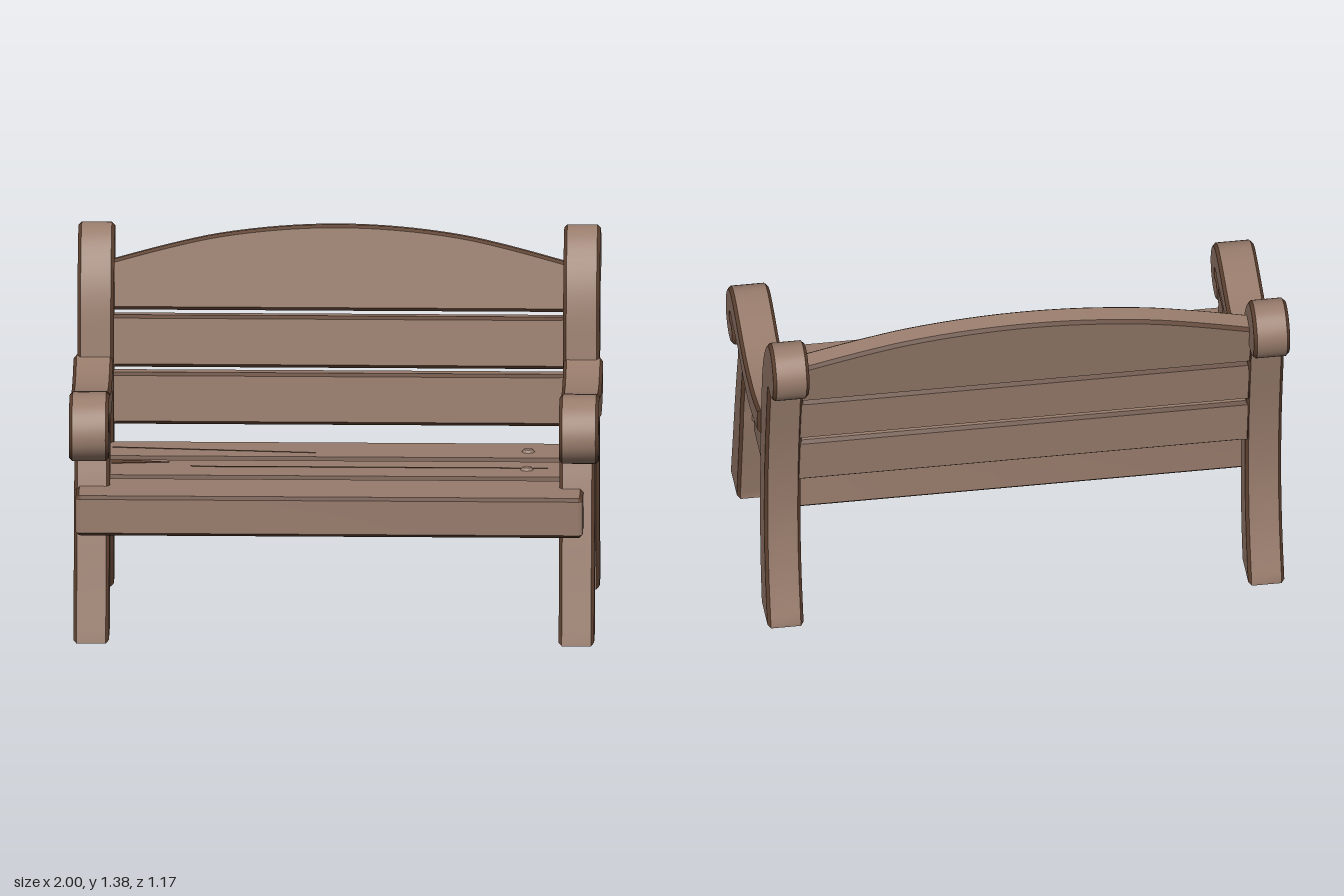
import * as THREE from 'three';
import { toCreasedNormals } from 'three/addons/utils/BufferGeometryUtils.js';

const BEVEL = 0.012;

export function createModel() {
  const bench = new THREE.Group();
  bench.name = 'bench';

  const wood = new THREE.MeshStandardMaterial({ color: 0x987c6c });
  wood.name = 'wood';
  const wornEdge = new THREE.MeshStandardMaterial({ color: 0x5e4130 });
  wornEdge.name = 'worn edge';

  // Bevelled solid centred on its depth; the slanted bevel faces take the edge colour
  function solid(shape, depth) {
    const raw = new THREE.ExtrudeGeometry(shape, {
      depth: depth - 2 * BEVEL, curveSegments: 8, bevelEnabled: true, bevelSegments: 1,
      bevelSize: BEVEL, bevelThickness: BEVEL, bevelOffset: -BEVEL,
    });
    raw.translate(0, 0, BEVEL - depth / 2);
    const faces = [[], []];
    const normal = raw.attributes.normal;
    for (let i = 0; i < normal.count; i += 3) {
      const slope = Math.abs(normal.getZ(i));
      faces[slope > 0.2 && slope < 0.95 ? 1 : 0].push(i, i + 1, i + 2);
    }
    const geometry = toCreasedNormals(raw, 0.6);
    geometry.setIndex([...faces[0], ...faces[1]]);
    geometry.clearGroups();
    geometry.addGroup(0, faces[0].length, 0);
    geometry.addGroup(faces[0].length, faces[1].length, 1);
    return geometry;
  }

  function add(name, geometry, material = [wood, wornEdge]) {
    const mesh = new THREE.Mesh(geometry, material);
    mesh.name = name;
    bench.add(mesh);
    return mesh;
  }

  // Closed outline from smooth runs that meet at sharp corners
  function outline(...runs) {
    const points = runs.flatMap((run) => {
      const v = run.map(([a, b]) => new THREE.Vector2(a, b));
      return v.length < 3 ? v : new THREE.SplineCurve(v).getPoints((v.length - 1) * 4);
    });
    return new THREE.Shape(points);
  }

  // Rectangle with softened corners, centred
  function plankShape(w, h, r = 0.02) {
    const x = w / 2, y = h / 2;
    const s = new THREE.Shape();
    s.moveTo(-x + r, -y);
    s.lineTo(x - r, -y);
    s.quadraticCurveTo(x, -y, x, -y + r);
    s.lineTo(x, y - r);
    s.quadraticCurveTo(x, y, x - r, y);
    s.lineTo(-x + r, y);
    s.quadraticCurveTo(-x, y, -x, y - r);
    s.lineTo(-x, -y + r);
    s.quadraticCurveTo(-x, -y, -x + r, -y);
    return s;
  }

  // Side frames, drawn as (z, y) outlines
  const backPost = outline(
    [[-0.43, 0.0], [-0.265, 0.0]],
    [[-0.262, 0.01], [-0.23, 0.18], [-0.215, 0.4], [-0.22, 0.6], [-0.232, 0.8], [-0.25, 0.96],
      [-0.272, 1.1], [-0.31, 1.21], [-0.37, 1.302], [-0.425, 1.35], [-0.48, 1.366], [-0.535, 1.348],
      [-0.575, 1.3], [-0.584, 1.25], [-0.568, 1.195], [-0.53, 1.154], [-0.48, 1.14], [-0.44, 1.142]],
    [[-0.428, 1.125], [-0.405, 1.0], [-0.37, 0.8], [-0.35, 0.6], [-0.35, 0.4], [-0.378, 0.2], [-0.43, 0.012]],
  );
  const frontLeg = outline(
    [[0.385, 0.0], [0.565, 0.0]],
    [[0.562, 0.015], [0.51, 0.22], [0.46, 0.42], [0.41, 0.6], [0.378, 0.71], [0.385, 0.82]],
    [[0.25, 0.81], [0.242, 0.72], [0.265, 0.62], [0.295, 0.5], [0.31, 0.4], [0.35, 0.2], [0.385, 0.015]],
  );
  const armrest = outline(
    [[-0.26, 0.908], [-0.18, 0.886], [-0.1, 0.87], [0.0, 0.864], [0.1, 0.87], [0.2, 0.889], [0.3, 0.916],
      [0.4, 0.938], [0.47, 0.937], [0.535, 0.9], [0.575, 0.835], [0.578, 0.77], [0.545, 0.718],
      [0.49, 0.694], [0.435, 0.7], [0.4, 0.73], [0.396, 0.77], [0.415, 0.803], [0.442, 0.802],
      [0.464, 0.798], [0.47, 0.815], [0.45, 0.827], [0.41, 0.815]],
    [[0.37, 0.812], [0.28, 0.808], [0.2, 0.79], [0.1, 0.766], [0.0, 0.756], [-0.1, 0.766], [-0.26, 0.8]],
  );
  for (const [side, sign] of [['left', 1], ['right', -1]]) {
    for (const [part, shape, width, x] of [
      ['BackPost', backPost, 0.138, 0.917], ['FrontLeg', frontLeg, 0.134, 0.916], ['Armrest', armrest, 0.15, 0.925],
    ]) {
      const mesh = add(side + part, solid(shape, width).rotateY(-Math.PI / 2));
      mesh.position.x = sign * x;
    }
  }

  // Seat slats: name, front z, back z, left and right ends
  for (const [name, z0, z1, x0, x1] of [
    ['frontSeatSlat', 0.567, 0.29, -0.975, 0.94],
    ['middleSeatSlat', 0.26, 0.014, -0.94, 0.94],
    ['rearSeatSlat', -0.018, -0.25, -0.94, 0.94],
  ]) {
    const mesh = add(name, solid(plankShape(x1 - x0, z0 - z1), 0.155).rotateX(-Math.PI / 2));
    mesh.position.set((x0 + x1) / 2, 0.498, (z0 + z1) / 2);
  }

  // Lower back slats, leaning with the posts
  for (const [name, y, z, tilt] of [['lowerBackSlat', 0.73, -0.318, 0.09], ['middleBackSlat', 0.944, -0.348, 0.13]]) {
    const mesh = add(name, solid(plankShape(1.73, 0.198, 0.01), 0.085));
    mesh.position.set(0, y, z);
    mesh.rotation.x = -tilt;
  }

  // Arched top slat
  const arch = outline(
    [[-0.865, 0], [0.865, 0]],
    [[0.865, 0.187], [0.65, 0.245], [0.45, 0.289], [0.22, 0.317], [0, 0.326],
      [-0.22, 0.317], [-0.45, 0.289], [-0.65, 0.245], [-0.865, 0.187]],
  );
  const crest = add('archedTopSlat', solid(arch, 0.085));
  crest.position.set(0, 1.056, -0.376);
  crest.rotation.x = -0.2;

  // Weathering on the seat: knots and split grain
  for (const [x, z] of [[0.72, 0.14], [0.72, -0.12]]) {
    const knot = add('woodKnot', new THREE.CylinderGeometry(0.018, 0.026, 0.012, 8), wood);
    knot.position.set(x, 0.58, z);
  }
  for (const points of [
    [[-0.85, -0.035], [-0.75, -0.04], [-0.63, -0.062], [-0.85, -0.085]],
    [[-0.55, -0.118], [0.8, -0.122], [-0.5, -0.124]],
    [[-0.85, 0.155], [-0.08, 0.085], [-0.85, 0.15]],
  ]) {
    const split = new THREE.ExtrudeGeometry(outline(...points.map((p) => [p])), { depth: 0.003, bevelEnabled: false });
    add('splitGrain', split.rotateX(-Math.PI / 2), wornEdge).position.y = 0.5745;
  }

  return bench;
}
